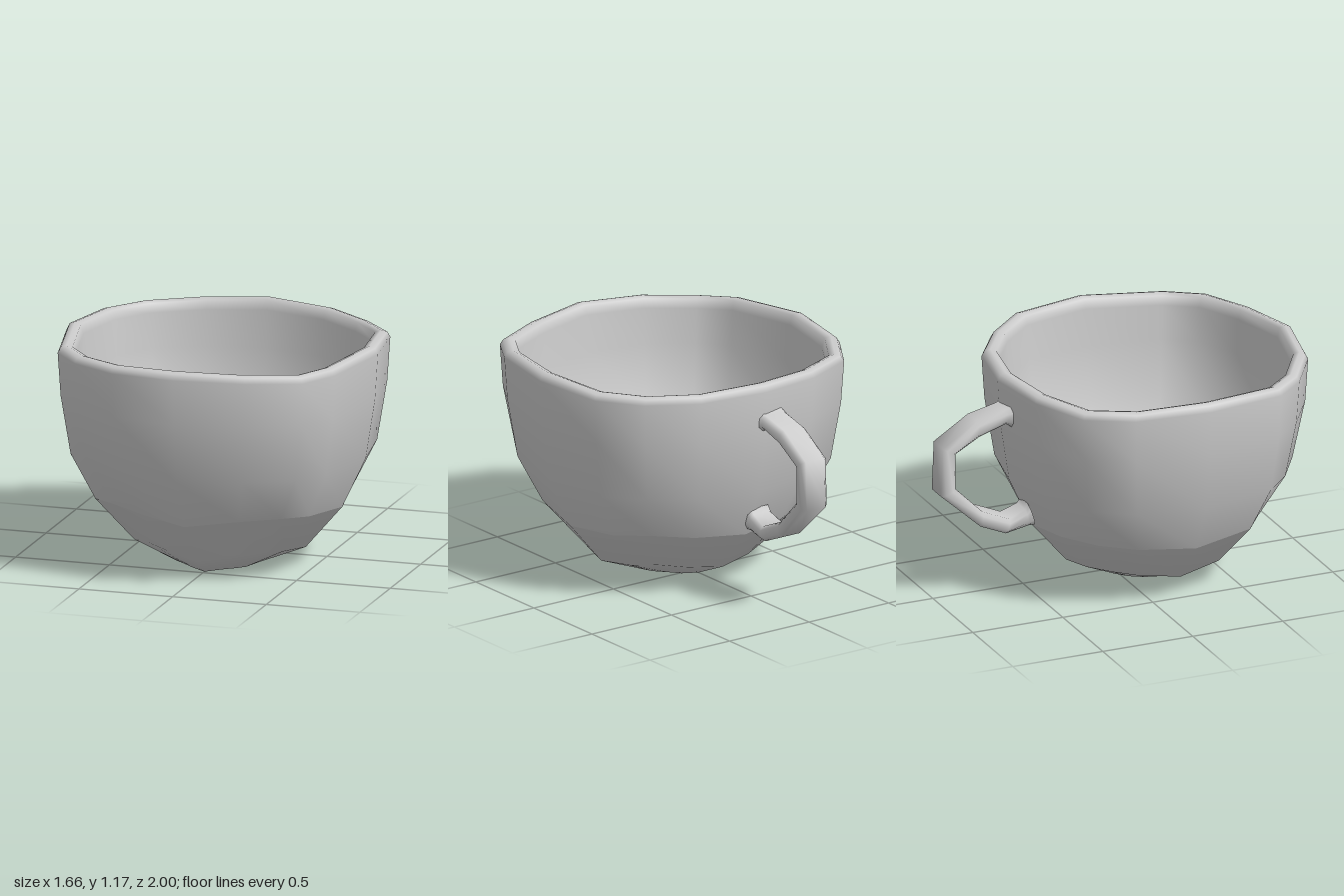
import * as THREE from 'three';

// Skin a list of closed rings (each an array of Vector3) with shared vertices.
function loft(rings) {
  const n = rings[0].length;
  const index = [];
  for (let i = 0; i < rings.length - 1; i++) {
    for (let j = 0; j < n; j++) {
      const a = i * n + j, b = i * n + (j + 1) % n;
      index.push(a, b, a + n, b, b + n, a + n);
    }
  }
  const geo = new THREE.BufferGeometry().setFromPoints(rings.flat());
  geo.setIndex(index);
  geo.computeVertexNormals();
  return geo;
}

// Slightly uneven 16-sided outline of the cup [x, z], about its own axis.
const OUTLINE = [
  [0, 0.82], [0.36, 0.74], [0.63, 0.62], [0.74, 0.43],
  [0.83, 0], [0.77, -0.39], [0.60, -0.59], [0.36, -0.75],
  [0, -0.82], [-0.34, -0.76], [-0.63, -0.62], [-0.77, -0.39],
  [-0.83, 0], [-0.74, 0.43], [-0.60, 0.59], [-0.35, 0.75],
];
const AXIS_Z = 0.18;

// Each ring: [radius, height, wave, taper beside the front, depth scale, z shift].
const BASE = [
  [0.001, 0.02, 0], [0.205, 0.01, -0.006, 0.08, 1.3, 0.035],
  [0.445, 0.115, -0.02, 0.08], [0.64, 0.34, -0.018, 0.07],
];
const BODY = [
  [0.64, 0.34, -0.018, 0.07], [0.765, 0.59, -0.005, 0.02], [0.815, 0.9, 0],
  [0.83, 1.13, 0.008], [0.815, 1.158, 0.01], [0.785, 1.168, 0.01],
  [0.755, 1.158, 0.01], [0.742, 1.11, 0.008], [0.73, 0.92, 0],
  [0.69, 0.63, -0.005, 0.02], [0.57, 0.385, -0.018, 0.07], [0.4, 0.18, -0.018, 0.08],
];
const FLOOR = [
  [0.4, 0.18, -0.018, 0.08], [0.18, 0.095, 0, 0.08, 1.3, 0.035], [0.001, 0.095, 0],
];

function cupRing([r, y, wave, taper = 0, depth = 1, shift = 0]) {
  return OUTLINE.map(([x, z]) => {
    const angle = Math.atan2(x, z);
    const beside = Math.max(0, Math.sin(3 * Math.min(Math.abs(angle), Math.PI / 3)));
    const k = r / 0.83 * (1 - taper * beside);
    return new THREE.Vector3(
      x * k, y + wave * Math.cos(4 * angle), AXIS_Z + shift + z * k * depth);
  });
}

// Handle stations: outer edge [z, y], inner edge [z, y], half width.
const HANDLE = [
  [-0.61, 1.03, -0.61, 0.92, 0.085], [-0.645, 1.015, -0.64, 0.94, 0.08],
  [-0.80, 0.98, -0.785, 0.895, 0.08], [-0.99, 0.86, -0.92, 0.82, 0.08],
  [-1.0, 0.60, -0.92, 0.63, 0.08], [-0.78, 0.40, -0.77, 0.48, 0.08],
  [-0.64, 0.34, -0.62, 0.415, 0.08], [-0.51, 0.36, -0.53, 0.45, 0.07],
  [-0.475, 0.36, -0.515, 0.48, 0.07],
];

// Chamfered rectangular section [across, outward], scaled to each station.
const SECTION = [
  [0.72, 1], [1, 0.5], [1, -0.5], [0.72, -1],
  [-0.72, -1], [-1, -0.5], [-1, 0.5], [-0.72, 1],
];

function handleRing([oz, oy, iz, iy, w]) {
  return SECTION.map(([s, c]) => new THREE.Vector3(
    -0.045 + s * w,
    (oy + iy) / 2 + c * (oy - iy) / 2,
    (oz + iz) / 2 + c * (oz - iz) / 2,
  ));
}

export function createModel() {
  const group = new THREE.Group();
  group.name = 'teacup';
  const material = new THREE.MeshStandardMaterial({ color: 0xcccccc });

  // Base, body and floor are separate skins, so the seams between them stay crisp
  const parts = {
    cupBase: BASE.map(cupRing),
    cupBody: BODY.map(cupRing),
    cupFloor: FLOOR.map(cupRing),
    handle: HANDLE.map(handleRing),
  };
  for (const [name, rings] of Object.entries(parts)) {
    const mesh = new THREE.Mesh(loft(rings), material);
    mesh.name = name;
    group.add(mesh);
  }
  return group;
}
